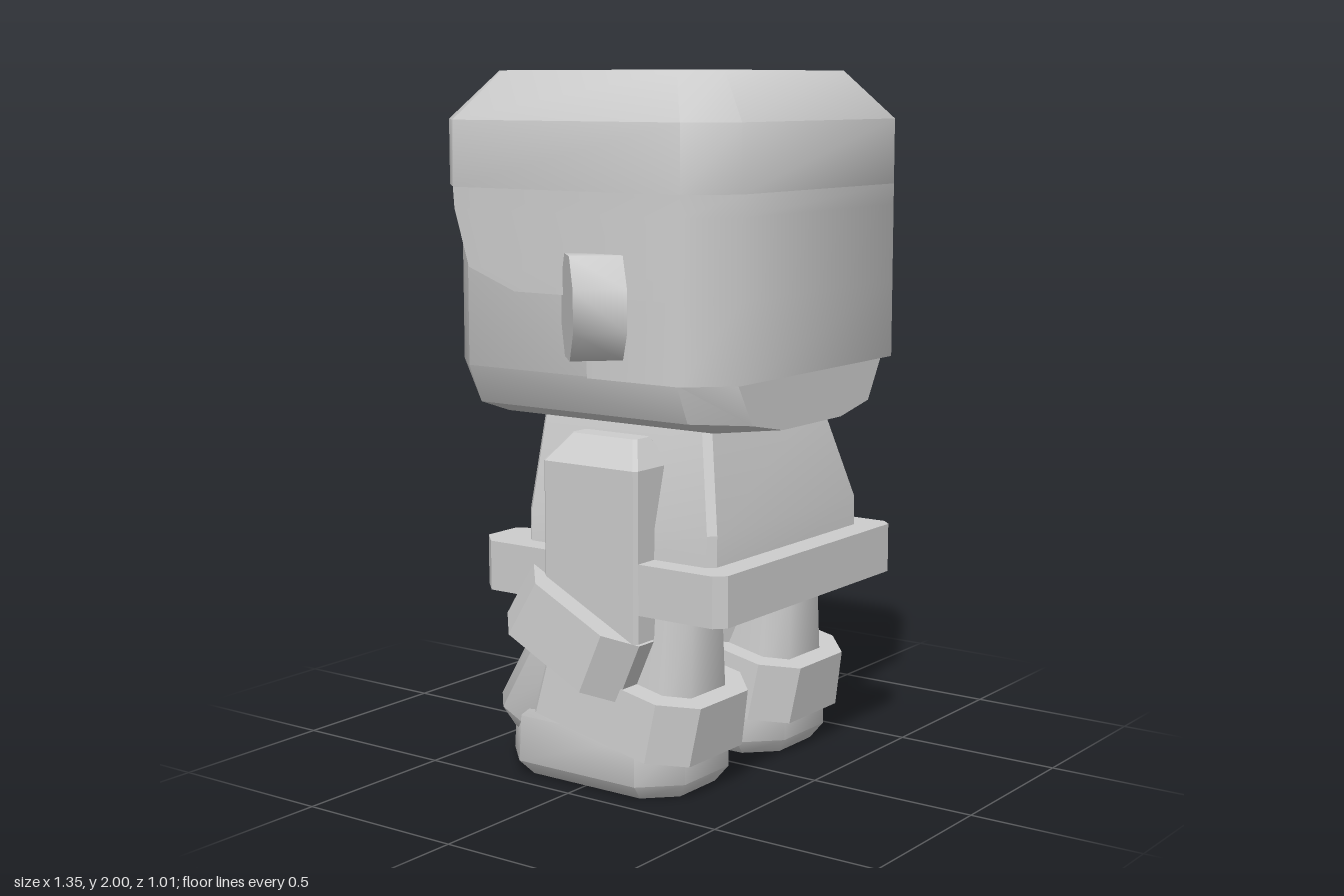
import * as THREE from 'three';
import { toCreasedNormals } from 'three/addons/utils/BufferGeometryUtils.js';

const clay = new THREE.MeshStandardMaterial({ color: 0xcccccc });
clay.name = 'light grey';

// Skin a stack of equal-length rings of [x, y, z] and close both ends.
function loft(rings, crease = 0.6) {
  const pos = [];
  const tri = (a, b, c) => pos.push(...a, ...b, ...c);
  const n = rings[0].length;
  for (let i = 0; i < rings.length - 1; i++) {
    for (let j = 0; j < n; j++) {
      const k = (j + 1) % n;
      const [a, b, c, d] = [rings[i][j], rings[i][k], rings[i + 1][k], rings[i + 1][j]];
      tri(a, b, c);
      tri(a, c, d);
    }
  }
  const first = rings[0], last = rings[rings.length - 1];
  for (let j = 1; j < n - 1; j++) {
    tri(first[0], first[j + 1], first[j]);
    tri(last[0], last[j], last[j + 1]);
  }
  const g = new THREE.BufferGeometry();
  g.setAttribute('position', new THREE.Float32BufferAttribute(pos, 3));
  return toCreasedNormals(g, crease);
}

// Horizontal rectangle with cut corners; zBack and zFront set its depth.
function plan(y, hw, zBack, zFront, c) {
  return [
    [hw, y, zFront - c], [hw, y, zBack + c], [hw - c, y, zBack], [c - hw, y, zBack],
    [-hw, y, zBack + c], [-hw, y, zFront - c], [c - hw, y, zFront], [hw - c, y, zFront],
  ];
}
const block = (layers, crease) => loft(layers.map((l) => plan(...l)), crease);

function add(parent, name, geometry, x = 0, y = 0, z = 0) {
  const m = new THREE.Mesh(geometry, clay);
  m.name = name;
  m.position.set(x, y, z);
  parent.add(m);
  return m;
}

function extrude(points, depth) {
  const shape = new THREE.Shape(points.map(([x, y]) => new THREE.Vector2(x, y)));
  return new THREE.ExtrudeGeometry(shape, { depth, bevelEnabled: false });
}

export function createModel() {
  const root = new THREE.Group();
  root.name = 'figure';

  // Head: rounded jaw, flat face
  const jaw = (z, w, c, cy, b) => {
    const half = [[b, 1.03], [c, cy], [w, 1.18], [w, 1.8]];
    const mirror = half.map(([x, y]) => [-x, y]).reverse();
    return [...half, ...mirror].map(([x, y]) => [x, y, z]);
  };
  add(root, 'head', loft([
    jaw(-0.475, 0.37, 0.30, 1.06, 0.15),
    jaw(-0.36, 0.48, 0.43, 1.07, 0.31),
    jaw(0.36, 0.48, 0.43, 1.07, 0.31),
    jaw(0.48, 0.37, 0.30, 1.06, 0.15),
  ], 0.75));

  // Hair: crown, then the lower part that steps around the face
  add(root, 'hairCrown', block([
    [1.68, 0.505, -0.503, 0.503, 0.115],
    [1.865, 0.505, -0.503, 0.503, 0.115],
    [2.0, 0.39, -0.39, 0.385, 0.09],
  ], 0.95));
  const hairEdge = [[1.18, 0.08], [1.4, 0.08], [1.4, -0.17], [1.46, -0.335], [1.62, -0.385], [1.68, -0.39]];
  add(root, 'hairSides', loft(hairEdge.map(([y, z]) => [
    [0.505, y, 0.388], [0.505, y, z], [-0.505, y, z],
    [-0.505, y, 0.388], [-0.39, y, 0.503], [0.39, y, 0.503],
  ]), 0.85));

  // Pointed locks on the forehead
  add(root, 'fringe', extrude([
    [-0.37, 1.69], [-0.37, 1.56], [-0.29, 1.53], [-0.21, 1.55], [-0.14, 1.66],
    [-0.08, 1.52], [0, 1.48], [0.08, 1.54], [0.15, 1.67], [0.19, 1.59],
    [0.26, 1.58], [0.37, 1.67], [0.37, 1.69],
  ], 0.008), 0, 0, -0.481);

  // Torso
  add(root, 'torso', block([
    [0.54, 0.38, -0.245, 0.405, 0.02],
    [0.76, 0.375, -0.245, 0.405, 0.02],
    [1.06, 0.295, -0.245, 0.33, 0.02],
  ], 0.3));

  // Belt with a small notch at the rear
  const belt = extrude([
    [0.45, -0.455], [0.45, 0.315], [0.39, 0.375], [-0.17, 0.375], [-0.21, 0.35],
    [-0.23, 0.31], [-0.27, 0.375], [-0.39, 0.375], [-0.45, 0.315], [-0.45, -0.455],
    [-0.42, -0.485], [0.42, -0.485],
  ], 0.143);
  belt.rotateX(-Math.PI / 2);
  add(root, 'belt', belt, 0, 0.531, 0);

  for (const s of [1, -1]) {
    const side = s > 0 ? 'left' : 'right';

    // Ear disc, turned outward and to the face
    const disc = new THREE.CylinderGeometry(0.15, 0.15, 0.142, 8).toNonIndexed();
    disc.rotateY(Math.PI / 8);
    disc.rotateX(Math.PI / 2);
    const ear = add(root, side + 'Ear', toCreasedNormals(disc, 0.8), s * 0.525, 1.378, 0.12);
    ear.rotation.y = s * Math.PI * 0.75;

    // Upper arm
    add(root, side + 'Arm', block([
      [0.45, 0.1, -0.115, 0.21, 0.01],
      [0.93, 0.1, -0.115, 0.21, 0.01],
      [1.005, 0.035, -0.065, 0.16, 0.01],
    ], 0.3), s * 0.36);

    // Swung-back cuff and hand
    const forearm = new THREE.Group();
    forearm.name = side + 'Forearm';
    forearm.position.set(s * 0.3, 0.453, -0.01);
    forearm.rotation.x = 0.465;
    root.add(forearm);
    add(forearm, side + 'SleeveCuff', block([
      [-0.09, 0.236, -0.225, 0.215, 0.08],
      [0.09, 0.225, -0.215, 0.2, 0.08],
    ], 0.3));
    add(forearm, side + 'Hand', block([
      [-0.4, 0.125, -0.12, 0.12, 0.04],
      [-0.35, 0.165, -0.168, 0.155, 0.05],
      [0.06, 0.15, -0.15, 0.15, 0.05],
    ], 0.95), s * -0.01);

    // Leg, boot cuff and foot
    add(root, side + 'Leg', block([
      [0.15, 0.15, -0.2, 0.305, 0.06],
      [0.58, 0.118, -0.18, 0.3, 0.05],
    ], 0.9), s * 0.25);
    const cuff = add(root, side + 'BootCuff', block([
      [-0.085, 0.218, -0.285, 0.285, 0.09],
      [0.085, 0.205, -0.28, 0.28, 0.09],
    ], 0.3), s * 0.253, 0.247, 0.07);
    cuff.rotation.x = 0.2;
    add(root, side + 'Foot', block([
      [0, 0.165, -0.27, 0.27, 0.08],
      [0.045, 0.207, -0.31, 0.302, 0.1],
      [0.18, 0.207, -0.3, 0.302, 0.1],
      [0.27, 0.18, -0.2, 0.28, 0.09],
    ], 0.85), s * 0.253);
  }
  return root;
}
